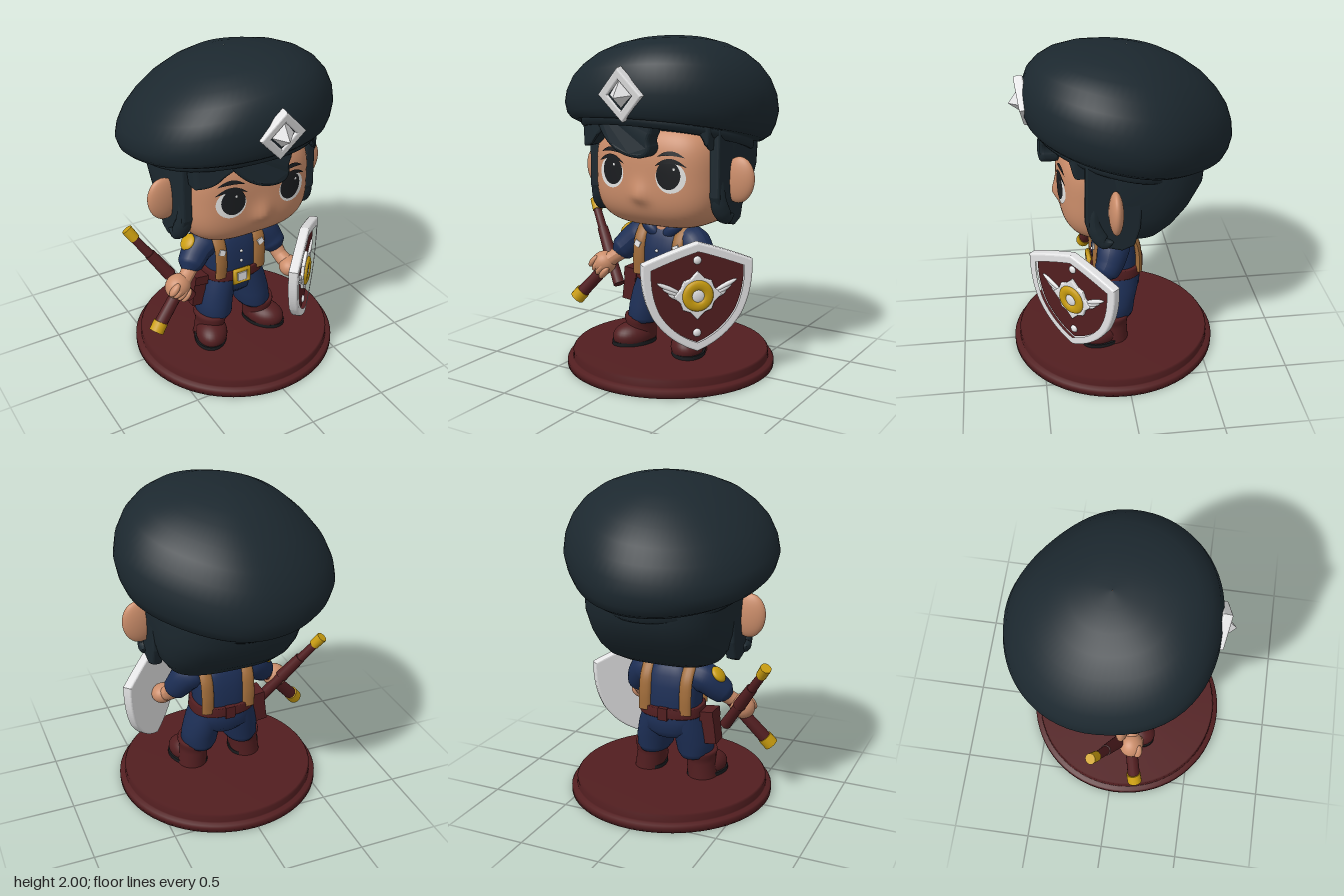
import * as THREE from 'three';

const colour = (name, hex) => {
  const m = new THREE.MeshStandardMaterial({ color: hex });
  m.name = name;
  return m;
};
const V = (x, y, z) => new THREE.Vector3(x, y, z);
const HX = 0.015; // sideways centre of the head

// Closed skin through rings: [y, cx, cz, rx, rzFront, rzBack, tiltX, tiltZ]; p squares the section,
// skew fills the right front and trims the left back
function loft(rings, p = 2, n = 56, skew = 0) {
  const pos = [], idx = [];
  const sp = v => Math.sign(v) * Math.abs(v) ** (2 / p);
  rings.forEach(([y, cx, cz, rx, rf, rb = rf, tx = 0, tz = 0]) => {
    for (let i = 0; i < n; i++) {
      const t = i / n * Math.PI * 2, s = sp(Math.sin(t)), c = sp(Math.cos(t));
      const k = 1 + (c * s < 0 ? skew * Math.sign(s) * Math.sin(2 * t) ** 2 : 0);
      const x = cx + rx * c * k, z = cz + s * k * (s > 0 ? rf : rb);
      pos.push(x, y + tx * x + tz * z, z);
    }
  });
  for (let j = 0; j < rings.length - 1; j++) for (let i = 0; i < n; i++) {
    const a = j * n + i, b = j * n + (i + 1) % n;
    idx.push(a, a + n, b, b, a + n, b + n);
  }
  const g = new THREE.BufferGeometry();
  g.setAttribute('position', new THREE.Float32BufferAttribute(pos, 3));
  g.setIndex(idx);
  g.computeVertexNormals();
  return g;
}

// Tube along points with a varying radius
function limb(pts, radii, seg = 28, sides = 16) {
  const curve = new THREE.CatmullRomCurve3(pts.map(p => V(...p)));
  const g = new THREE.TubeGeometry(curve, seg, 1, sides), a = g.attributes.position, v = V();
  for (let i = 0; i < a.count; i++) {
    const t = Math.floor(i / (sides + 1)) / seg, f = t * (radii.length - 1);
    const k = Math.min(Math.floor(f), radii.length - 2), c = curve.getPointAt(t);
    v.fromBufferAttribute(a, i).sub(c).multiplyScalar(THREE.MathUtils.lerp(radii[k], radii[k + 1], f - k)).add(c);
    a.setXYZ(i, v.x, v.y, v.z);
  }
  g.computeVertexNormals();
  return g;
}

const poly = pts => new THREE.Shape(pts.map(p => new THREE.Vector2(...p)));
const slab = (shape, depth, bevel = 0.01) => new THREE.ExtrudeGeometry(shape, {
  depth, bevelEnabled: bevel > 0, bevelSize: bevel, bevelThickness: bevel, bevelSegments: 3, curveSegments: 16 });

// Rounded-box face surface with a soft nose
const FP = 3.3, FA = 0.42, FB = 0.33, FC = 0.37, FY = 1.2;
const noseZ = (x, y) => 0.032 * Math.exp(-(((x - HX) / 0.055) ** 2) - ((y - 1.085) / (y > 1.085 ? 0.08 : 0.04)) ** 2);
const faceZ = (x, y) => noseZ(x, y)
  + FC * Math.max(0, 1 - Math.abs((x - HX) / FA) ** FP - Math.abs((y - FY) / FB) ** FP) ** (1 / FP);
function wrapToFace(g, lift) {
  const a = g.attributes.position;
  for (let i = 0; i < a.count; i++) a.setZ(i, faceZ(a.getX(i), a.getY(i)) + lift);
  g.computeVertexNormals();
  return g;
}

export function createModel() {
  const M = {
    dark: colour('dark slate', 0x1c282f), skin: colour('skin', 0xcb8d6a), navy: colour('navy cloth', 0x1d2f56),
    maroon: colour('maroon', 0x521e20), silver: colour('silver', 0xe4e4e5), gold: colour('gold', 0xcb9e10),
    tan: colour('tan leather', 0xa06c3a), sole: colour('sole', 0x1a1c1f), white: colour('eye white', 0xe4e4e2),
  };
  const root = new THREE.Group();
  const add = (name, geo, mat, pos = [0, 0, 0], rot = [0, 0, 0], scale = [1, 1, 1], parent = root) => {
    const m = new THREE.Mesh(geo, mat);
    m.name = name;
    m.position.set(...pos); m.rotation.set(...rot); m.scale.set(...scale);
    parent.add(m);
    return m;
  };
  const ball = new THREE.SphereGeometry(1, 28, 20);
  const box = (x, y, z) => new THREE.BoxGeometry(x, y, z);
  const rod = (name, a, b, r0, r1, mat) => {
    const A = V(...a), d = V(...b).sub(A);
    const m = add(name, new THREE.CylinderGeometry(r1, r0, d.length(), 16), mat, A.clone().addScaledVector(d, 0.5).toArray());
    m.quaternion.setFromUnitVectors(V(0, 1, 0), d.normalize());
  };

  // Stand
  add('base', new THREE.LatheGeometry([[0, 0], [0.64, 0], [0.64, 0.03], [0.632, 0.042], [0.608, 0.046],
    [0.604, 0.052], [0.604, 0.09], [0.594, 0.102], [0, 0.102]].map(p => new THREE.Vector2(...p)), 72), M.maroon, [0.02, 0, 0.033]);

  // Boots and trouser legs
  for (const s of [-1, 1]) {
    const r = [0, s * 0.45, 0], x = s * 0.185;
    add('bootShaft', loft([[0.1, x, 0.06, 0.095, 0.12, 0.1], [0.2, x * 0.94, 0.06, 0.09, 0.12, 0.095], [0.235, x * 0.92, 0.06, 0.095, 0.125, 0.1],
      [0.26, x * 0.92, 0.06, 0.104, 0.13, 0.11], [0.28, x * 0.92, 0.06, 0.1, 0.125, 0.105], [0.281, x * 0.92, 0.06, 0.001, 0.001]]), M.maroon);
    add('bootToe', ball, M.maroon, [x * 1.06, 0.15, 0.13], r, [0.1, 0.085, 0.135]);
    add('bootSole', new THREE.CylinderGeometry(1, 1, 0.026, 32), M.sole, [x * 1.06, 0.112, 0.115], r, [0.103, 1, 0.15]);
    add('trouserLeg', loft([[0.24, s * 0.14, 0.05, 0.03, 0.03], [0.245, s * 0.14, 0.05, 0.09, 0.12], [0.275, s * 0.14, 0.05, 0.112, 0.14, 0.13],
      [0.35, s * 0.132, 0.04, 0.116, 0.14, 0.13], [0.45, s * 0.11, 0.03, 0.115, 0.145], [0.55, s * 0.08, 0.02, 0.11, 0.14]]), M.navy);
  }
  add('trouserSeat', loft([[0.365, 0, 0.0, 0.03, 0.04], [0.38, 0, 0.005, 0.1, 0.1], [0.43, 0, 0.01, 0.185, 0.145],
    [0.5, 0, 0.015, 0.2, 0.152], [0.56, 0, 0.015, 0.19, 0.145]], 2.4), M.navy);

  // Shirt, collar and buttons
  add('shirt', loft([[0.52, 0, 0.02, 0.175, 0.14], [0.62, 0, 0.02, 0.18, 0.145], [0.72, 0, 0.02, 0.18, 0.14], [0.79, 0, 0.02, 0.165, 0.125],
    [0.84, 0, 0.02, 0.13, 0.105], [0.87, 0, 0.02, 0.09, 0.08], [0.875, 0, 0.02, 0.001, 0.001]], 2.6), M.navy);
  add('neck', new THREE.CylinderGeometry(0.075, 0.085, 0.1, 24), M.skin, [0, 0.86, 0.04]);
  for (const s of [-1, 1]) add('collar', ball, M.navy, [s * 0.075, 0.842, 0.105], [0.5, s * 0.35, s * 0.5], [0.075, 0.04, 0.035]);
  for (const y of [0.65, 0.72]) add('button', ball, M.silver, [0, y, 0.163], [0, 0, 0], [0.01, 0.01, 0.008]);

  // Braces with small buckles
  const strap = limb([[0, 0.56, 0.15], [0, 0.68, 0.153], [0, 0.78, 0.135], [0, 0.86, 0.06], [0, 0.86, -0.02],
    [0, 0.78, -0.09], [0, 0.68, -0.112], [0, 0.56, -0.115]], [0.02, 0.02], 40, 12);
  for (const s of [-1, 1]) {
    add('brace', strap, M.tan, [s * 0.135, 0, 0], [0, 0, 0], [2, 1, 1]);
    add('braceBuckle', box(0.04, 0.035, 0.012), M.silver, [s * 0.135, 0.75, 0.165], [-0.15, 0, s * 0.4]);
  }

  // Belt and what hangs from it
  add('belt', loft([[0.525, 0, 0.017, 0.17, 0.13], [0.525, 0, 0.017, 0.2, 0.16], [0.53, 0, 0.017, 0.205, 0.165], [0.585, 0, 0.017, 0.2, 0.163],
    [0.59, 0, 0.017, 0.195, 0.158], [0.59, 0, 0.017, 0.16, 0.12]], 2.5), M.maroon);
  add('beltBuckle', new THREE.TorusGeometry(0.058, 0.016, 8, 4).rotateZ(Math.PI / 4), M.gold, [-0.01, 0.555, 0.185], [0, 0, 0], [1.15, 1, 1]);
  add('buckleCentre', box(0.062, 0.058, 0.03), M.silver, [-0.01, 0.555, 0.185]);
  add('backLoop', box(0.06, 0.08, 0.03), M.maroon, [0.0, 0.555, -0.14]);
  add('holster', box(0.08, 0.18, 0.11), M.maroon, [-0.255, 0.445, 0.03], [0, 0, -0.12]);
  add('holsterFlap', box(0.09, 0.06, 0.125), M.maroon, [-0.24, 0.535, 0.03], [0, 0, -0.12]);

  // Arms and hands
  add('rightSleeve', limb([[-0.1, 0.79, 0.02], [-0.21, 0.765, 0.03], [-0.285, 0.7, 0.06], [-0.345, 0.64, 0.1]],
    [0.05, 0.095, 0.098, 0.092, 0.086, 0.078, 0.03]), M.navy);
  add('rightForearm', limb([[-0.31, 0.66, 0.08], [-0.36, 0.62, 0.11], [-0.41, 0.585, 0.13]], [0.05, 0.045, 0.05]), M.skin);
  add('rightHand', ball, M.skin, [-0.42, 0.58, 0.12], [0, 0, 0.5], [0.082, 0.075, 0.075]);
  for (let i = 0; i < 4; i++)
    add('finger', ball, M.skin, [-0.465 + i * 0.026, 0.595 - i * 0.022, 0.168], [0, 0, -0.7], [0.022, 0.048, 0.028]);
  add('shoulderPatch', ball, M.gold, [-0.297, 0.803, 0.025], [0, 0, -0.75], [0.025, 0.055, 0.055]);
  add('leftSleeve', limb([[0.1, 0.79, 0.02], [0.2, 0.765, 0.05], [0.255, 0.69, 0.08], [0.285, 0.61, 0.13]],
    [0.05, 0.095, 0.1, 0.094, 0.086, 0.078, 0.03]), M.navy);
  add('leftForearm', limb([[0.275, 0.65, 0.1], [0.29, 0.59, 0.15], [0.31, 0.55, 0.22]], [0.05, 0.045, 0.05]), M.skin);
  add('leftHand', ball, M.skin, [0.315, 0.545, 0.235], [0, 0.78, 0], [0.078, 0.062, 0.07]);

  // Crossed batons with gold ends
  rod('baton', [-0.32, 0.45, 0.1], [-0.61, 0.88, -0.075], 0.036, 0.026, M.maroon);
  rod('batonGrip', [-0.43, 0.615, 0.035], [-0.53, 0.765, -0.025], 0.04, 0.034, M.maroon);
  rod('batonTip', [-0.6, 0.87, -0.07], [-0.638, 0.933, -0.1], 0.032, 0.034, M.gold);
  rod('handle', [-0.35, 0.62, 0.1], [-0.57, 0.37, 0.16], 0.036, 0.04, M.maroon);
  rod('handleCap', [-0.56, 0.385, 0.155], [-0.6, 0.335, 0.17], 0.046, 0.046, M.gold);

  // Shield, turned toward the left front
  const shield = new THREE.Group();
  shield.name = 'shield';
  shield.position.set(0.35, 0.53, 0.295);
  shield.rotation.y = Math.PI / 4;
  root.add(shield);
  const outline = (k, P = THREE.Shape) => {
    const s = new P(), q = (...a) => s.quadraticCurveTo(...a.map(v => v * k));
    s.moveTo(0, 0.31 * k);
    q(0.14, 0.27, 0.315, 0.2); q(0.32, 0.02, 0.25, -0.11); q(0.16, -0.25, 0, -0.31);
    q(-0.16, -0.25, -0.25, -0.11); q(-0.32, 0.02, -0.315, 0.2); q(-0.14, 0.27, 0, 0.31);
    return s;
  };
  const sAdd = (n, g, m, p, r, s) => add(n, g, m, p, r, s, shield);
  const rim = outline(1);
  rim.holes.push(outline(0.87, THREE.Path));
  sAdd('shieldBack', slab(outline(0.98), 0.02, 0), M.silver, [0, 0, -0.01]);
  sAdd('shieldRim', slab(rim, 0.035, 0.012), M.silver);
  sAdd('shieldField', slab(outline(0.88), 0.012, 0), M.maroon, [0, 0, 0.012]);
  const star = [];
  for (let i = 0; i < 16; i++) {
    const a = i * Math.PI / 8, r = i % 2 ? 0.1 : i % 4 ? 0.11 : 0.132;
    star.push([r * Math.cos(a), r * Math.sin(a)]);
  }
  sAdd('shieldBoss', slab(poly(star), 0.01, 0.008), M.silver, [0, 0.01, 0.026]);
  sAdd('bossRing', new THREE.TorusGeometry(0.062, 0.03, 10, 32), M.gold, [0, 0.01, 0.045], [0, 0, 0], [1, 1, 0.5]);
  sAdd('bossCentre', ball, M.silver, [0, 0.01, 0.044], [0, 0, 0], [0.042, 0.042, 0.014]);
  for (const s of [-1, 1]) {
    sAdd('rivet', ball, M.silver, [0, s * 0.215, 0.026], [0, 0, 0], [0.024, 0.024, 0.014]);
    for (let i = 0; i < 3; i++)
      sAdd('bossWing', ball, M.silver, [s * (0.168 - i * 0.018), 0.06 - i * 0.026, 0.028], [0, 0, s * 0.45], [0.075 - i * 0.016, 0.014, 0.012]);
  }

  // Head: a sphere pushed to a rounded box, shallow at the back
  const headGeo = new THREE.SphereGeometry(1, 96, 64), hp = headGeo.attributes.position;
  for (let i = 0; i < hp.count; i++) {
    const v = V().fromBufferAttribute(hp, i);
    v.divideScalar((Math.abs(v.x) ** FP + Math.abs(v.y) ** FP + Math.abs(v.z) ** FP) ** (1 / FP));
    const x = HX + v.x * FA, y = FY + v.y * FB;
    hp.setXYZ(i, x, y, v.z > 0 ? v.z * FC + noseZ(x, y) * Math.min(1, v.z * 2) : v.z * 0.2);
  }
  headGeo.computeVertexNormals();
  add('head', headGeo, M.skin);
  const disc = (x, y, rx, ry, lift) => wrapToFace(new THREE.RingGeometry(0, 1, 32, 5).scale(rx, ry, 1).translate(x, y, 0), lift);
  for (const s of [-1, 1]) {
    const x = HX + s * 0.2;
    add('ear', ball, M.skin, [HX + s * 0.485, 1.185, 0.07], [0, 0, -s * 0.1], [0.1, 0.135, 0.042]);
    add('eyeWhite', disc(x, 1.212, 0.09, 0.09, 0.003), M.white);
    add('iris', disc(x - s * 0.011, 1.225, 0.073, 0.082, 0.006), M.sole);
    add('eyeGlint', disc(x + 0.025, 1.262, 0.007, 0.008, 0.009), M.white);
    // Lash and brow: tapered arcs laid on the face
    for (const [name, y, w, h, arch] of [['lash', 1.285, 0.19, 0.026, 0.034], ['brow', 1.34, 0.16, 0.024, 0.022]]) {
      const g = new THREE.PlaneGeometry(w, h, 14, 1), a = g.attributes.position;
      for (let i = 0; i < a.count; i++) {
        const u = a.getX(i) / w * 2;
        a.setXY(i, a.getX(i) + x, y + a.getY(i) * (1.05 - u * u) + arch * (1 - u * u) - 0.012);
      }
      add(name, wrapToFace(g, 0.007), M.sole);
    }
  }

  // Hair: back mass, side panels around the ears, curled tips and fringe
  add('hairBack', loft([[0.895, HX, -0.08, 0.02, 0.02, 0.02], [0.9, HX, -0.06, 0.29, 0.07, 0.15], [0.93, HX, -0.05, 0.355, 0.13, 0.21],
    [1.0, HX, -0.03, 0.405, 0.19, 0.31], [1.1, HX, -0.02, 0.435, 0.24, 0.4], [1.23, HX, -0.02, 0.45, 0.26, 0.47],
    [1.4, HX, -0.02, 0.455, 0.265, 0.48], [1.55, HX, -0.02, 0.44, 0.26, 0.45]], 2.9), M.dark);
  const panel = poly([[0.22, 1.5], [0.225, 1.1], [0.19, 1.01], [0.12, 0.95], [0.03, 0.925], [-0.03, 0.95], [-0.06, 1.05], [-0.07, 1.2], [-0.07, 1.45]]);
  for (const s of [-1, 1]) {
    add('sidePanel', slab(panel, 0.035, 0.015).rotateY(-Math.PI / 2), M.dark, [HX + s * 0.414 + 0.0175, 0, 0]);
    add('sideTip', limb([[HX + s * 0.41, 1.2, 0.19], [HX + s * 0.415, 1.06, 0.18], [HX + s * 0.435, 0.975, 0.13], [HX + s * 0.465, 0.985, 0.08]],
      [0.035, 0.042, 0.046, 0.05, 0.05, 0.042, 0.0]), M.dark);
  }
  const fringe = (name, draw, z) => {
    const s = new THREE.Shape();
    draw(s);
    const g = slab(s, 0.07, 0.02), a = g.attributes.position;
    for (let i = 0; i < a.count; i++) a.setZ(i, a.getZ(i) + z - 0.75 * a.getX(i) ** 2);
    g.computeVertexNormals();
    add(name, g, M.dark);
  };
  fringe('fringeMain', s => {
    s.moveTo(-0.24, 1.6); s.lineTo(-0.21, 1.5); s.quadraticCurveTo(-0.12, 1.36, 0.03, 1.345);
    s.quadraticCurveTo(0.125, 1.335, 0.118, 1.39); s.quadraticCurveTo(0.105, 1.43, 0.13, 1.47); s.lineTo(0.16, 1.6);
  }, 0.385);
  fringe('fringeSide', s => {
    s.moveTo(-0.4, 1.6); s.lineTo(-0.38, 1.37); s.quadraticCurveTo(-0.31, 1.38, -0.28, 1.42);
    s.quadraticCurveTo(-0.23, 1.47, -0.16, 1.5); s.lineTo(-0.15, 1.6);
  }, 0.37);
  fringe('fringeTemple', s => {
    s.moveTo(0.42, 1.6); s.lineTo(0.42, 1.4); s.quadraticCurveTo(0.4, 1.48, 0.34, 1.52); s.lineTo(0.3, 1.6);
  }, 0.34);

  // Beret: leaning back and toward its right
  add('beret', loft([
    [1.4, 0, 0, 0.01, 0.01, 0.01, 0, 0.27], [1.38, 0, 0, 0.475, 0.47, 0.48, 0, 0.27], [1.375, 0, 0, 0.495, 0.49, 0.5, 0, 0.27],
    [1.395, 0, 0, 0.512, 0.507, 0.52, 0, 0.27], [1.42, 0, 0, 0.512, 0.51, 0.52, 0, 0.26], [1.43, 0, -0.01, 0.51, 0.515, 0.52, 0, 0.25],
    [1.43, 0, -0.03, 0.555, 0.55, 0.555, 0.01, 0.23], [1.455, 0, -0.045, 0.597, 0.58, 0.59, 0.02, 0.21], [1.5, 0, -0.05, 0.625, 0.6, 0.61, 0.05, 0.2],
    [1.57, 0, -0.055, 0.642, 0.613, 0.62, 0.07, 0.2], [1.65, 0, -0.055, 0.628, 0.605, 0.61, 0.09, 0.2], [1.735, 0, -0.055, 0.588, 0.578, 0.58, 0.1, 0.2],
    [1.81, 0, -0.052, 0.525, 0.525, 0.525, 0.11, 0.19], [1.877, 0, -0.05, 0.44, 0.45, 0.45, 0.11, 0.18], [1.932, 0, -0.05, 0.335, 0.345, 0.34, 0.1, 0.16],
    [1.969, 0, -0.05, 0.22, 0.23, 0.23, 0.09, 0.14], [1.988, 0, -0.05, 0.11, 0.115, 0.115, 0.08, 0.13], [1.994, 0, -0.05, 0.001, 0.001, 0.001, 0.08, 0.12],
  ], 2, 72, 0.055), M.dark);

  // Diamond badge
  const badge = new THREE.Group();
  badge.name = 'badge';
  badge.position.set(HX, 1.685, 0.535);
  badge.rotation.x = 0.16;
  root.add(badge);
  const diamond = k => [[0, 0.14 * k], [-0.13 * k, 0], [0, -0.14 * k], [0.13 * k, 0]];
  const frame = poly(diamond(1));
  frame.holes.push(new THREE.Path(diamond(0.72).reverse().map(p => new THREE.Vector2(...p))));
  add('badgeFrame', slab(frame, 0.035, 0.01), M.silver, [0, 0, -0.01], [0, 0, 0], [1, 1, 1], badge);
  add('badgeField', slab(poly(diamond(0.78)), 0.02, 0), M.sole, [0, 0, -0.01], [0, 0, 0], [1, 1, 1], badge);
  add('badgeGem', new THREE.OctahedronGeometry(1), M.silver, [0, 0, 0.01], [0, 0, 0], [0.08, 0.088, 0.085], badge);
  return root;
}
